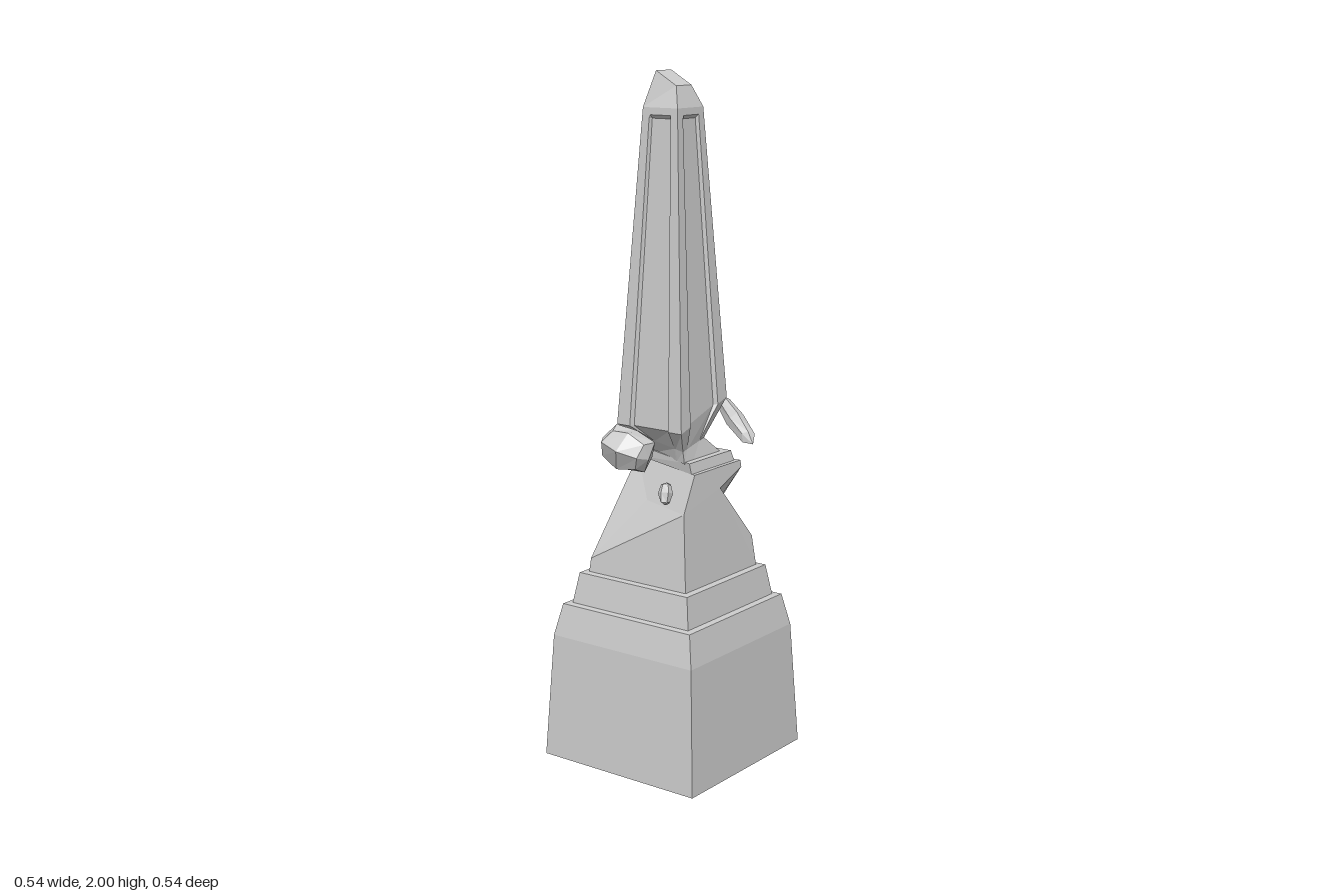
import * as THREE from 'three';

const stone = new THREE.MeshStandardMaterial({ color: 0xcccccc, flatShading: true });

function meshFrom(name, triangles) {
  const geo = new THREE.BufferGeometry();
  geo.setAttribute('position', new THREE.Float32BufferAttribute(triangles.flat(2), 3));
  geo.computeVertexNormals();
  const mesh = new THREE.Mesh(geo, stone);
  mesh.name = name;
  return mesh;
}

// Triangle fan around a centre point
function fan(centre, ring, closed = true) {
  const out = [];
  const n = closed ? ring.length : ring.length - 1;
  for (let i = 0; i < n; i++) out.push([centre, ring[i], ring[(i + 1) % ring.length]]);
  return out;
}

const centroid = (ring) => [0, 1, 2].map((k) => ring.reduce((s, p) => s + p[k], 0) / ring.length);

// Skin equal-length rings, listed from bottom to top, and close both ends
function loft(name, rings) {
  const tris = [];
  for (let r = 0; r < rings.length - 1; r++) {
    const lo = rings[r], hi = rings[r + 1];
    lo.forEach((a, i) => {
      const j = (i + 1) % lo.length;
      tris.push([a, lo[j], hi[j]], [a, hi[j], hi[i]]);
    });
  }
  const top = rings[rings.length - 1], bottom = [...rings[0]].reverse();
  return meshFrom(name, [...tris, ...fan(centroid(top), top), ...fan(centroid(bottom), bottom)]);
}

// Corner order: front-left, front-right, back-right, back-left as seen from the front
const square = (h, y) => [[-h, y, h], [h, y, h], [h, y, -h], [-h, y, -h]];

// Spread a four-corner ring to five points per side; depth sinks the panel points
const stops = [0, 0.2, 0.23, 0.77, 0.8];
function panelRing(corners, depth = 0) {
  const inward = [[0, -1], [-1, 0], [0, 1], [1, 0]];
  return corners.flatMap((a, s) => {
    const b = corners[(s + 1) % 4];
    return stops.map((t, k) => {
      const p = a.map((v, i) => v + (b[i] - v) * t);
      if (k === 2 || k === 3) {
        p[0] += inward[s][0] * depth;
        p[2] += inward[s][1] * depth;
      }
      return p;
    });
  });
}

// Pedestal with a broken-off back corner and a notch in the front corner
function buildPedestal() {
  const half = (y) => 0.175 - 0.035 * (y - 0.565) / 0.315;
  const at = (y, sx, sz) => [sx * half(y), y, sz * half(y)];
  const [D, C, B, A] = square(0.175, 0.56);
  const c = at(0.88, 1, 1), b = at(0.88, 1, -1);
  const d = [-0.085, 0.88, 0.14], e = [0.015, 0.88, -0.14];
  const p = at(0.78, -1, 1), q = at(0.6, -1, -1);
  const g = at(0.86, 1, 1), h = at(0.65, 1, 1);
  const f = [0.03, 0.82, half(0.82)], r = [half(0.72), 0.72, 0.04];
  return meshFrom('pedestal', [
    ...fan(f, [g, c, d, p, D, C, h], false),
    ...fan(r, [h, C, B, b, c, g], false),
    ...fan(B, [A, q, e, b], false),
    ...fan(A, [D, p, q], false),
    ...fan(d, [c, b, e], false),
    ...fan([-0.085, 0.78, -0.03], [q, p, d, e]),
    ...fan([0.1, 0.76, 0.09], [h, r, g, f]),
  ]);
}

// Tapered shaft with sunk panels, broken away to a thin neck at the bottom
function buildShaft() {
  const half = (y) => 0.06 + 0.055 * (1.9 - y) / 0.9;
  const breakY = [1.0, 1.07, 1.1, 1.0];
  const broken = breakY.map((y, i) => square(half(y), y)[i]);
  const foot = [[-0.08, 0.905, 0.1], [0.1, 0.905, 0.1], [0.1, 0.905, -0.1], [0.01, 0.905, -0.1]];
  const neck = [[-0.08, 0.94, 0.095], [0.035, 0.96, 0.085], [0.08, 0.99, -0.085], [-0.035, 0.95, -0.07]];
  return loft('shaft', [
    panelRing(foot),
    panelRing(neck),
    panelRing(broken, 0.012),
    panelRing(square(half(1.87), 1.87), 0.01),
    panelRing(square(half(1.88), 1.88)),
    panelRing(square(0.06, 1.9)),
  ]);
}

// Floating faceted fragment, its long axis turned along dir
function rock(name, position, size, dir, seed) {
  const geo = new THREE.SphereGeometry(1, 6, 4);
  const pos = geo.attributes.position, v = new THREE.Vector3();
  for (let i = 0; i < pos.count; i++) {
    v.fromBufferAttribute(pos, i);
    const k = 1 + 0.13 * Math.sin(v.x * 5.1 + v.y * 3.7 + v.z * 6.3 + seed);
    v.multiplyScalar(k);
    pos.setXYZ(i, v.x * size[0], v.y * size[1], v.z * size[2]);
  }
  geo.computeVertexNormals();
  const mesh = new THREE.Mesh(geo, stone);
  mesh.name = name;
  mesh.position.set(...position);
  mesh.quaternion.setFromUnitVectors(new THREE.Vector3(0, 1, 0), new THREE.Vector3(...dir).normalize());
  return mesh;
}

export function createModel() {
  const group = new THREE.Group();
  group.name = 'brokenObelisk';

  // Stepped base
  const steps = [[0.27, 0], [0.25, 0.37], [0.23, 0.465], [0.21, 0.467], [0.195, 0.558], [0.175, 0.56]];
  group.add(loft('base', steps.map(([h, y]) => square(h, y))));
  group.add(buildPedestal());

  // Chipped collar under the shaft
  const collar = (h, y) => [[-0.083, y, h], [h, y, h], [h, y, -h], [0.005, y, -h]];
  group.add(loft('collar', [collar(0.127, 0.88), collar(0.12, 0.91)]));
  group.add(buildShaft());

  // Cap with a slanted top
  group.add(loft('cap', [
    square(0.06, 1.9),
    [[-0.035, 1.96, 0.037], [0.035, 1.96, 0.037], [0.035, 2, -0.033], [-0.035, 2, -0.033]],
  ]));

  // Floating fragments
  group.add(rock('largeFragment', [-0.165, 0.945, -0.04], [0.055, 0.085, 0.07], [0.1, -0.3, 1], 0.5));
  group.add(rock('smallFragment', [-0.187, 0.845, 0.115], [0.022, 0.036, 0.022], [-0.4, -1, 0.2], 2));
  group.add(rock('longFragment', [0.175, 0.99, 0.098], [0.03, 0.1, 0.027], [0.25, 0.55, -0.75], 4));
  return group;
}
